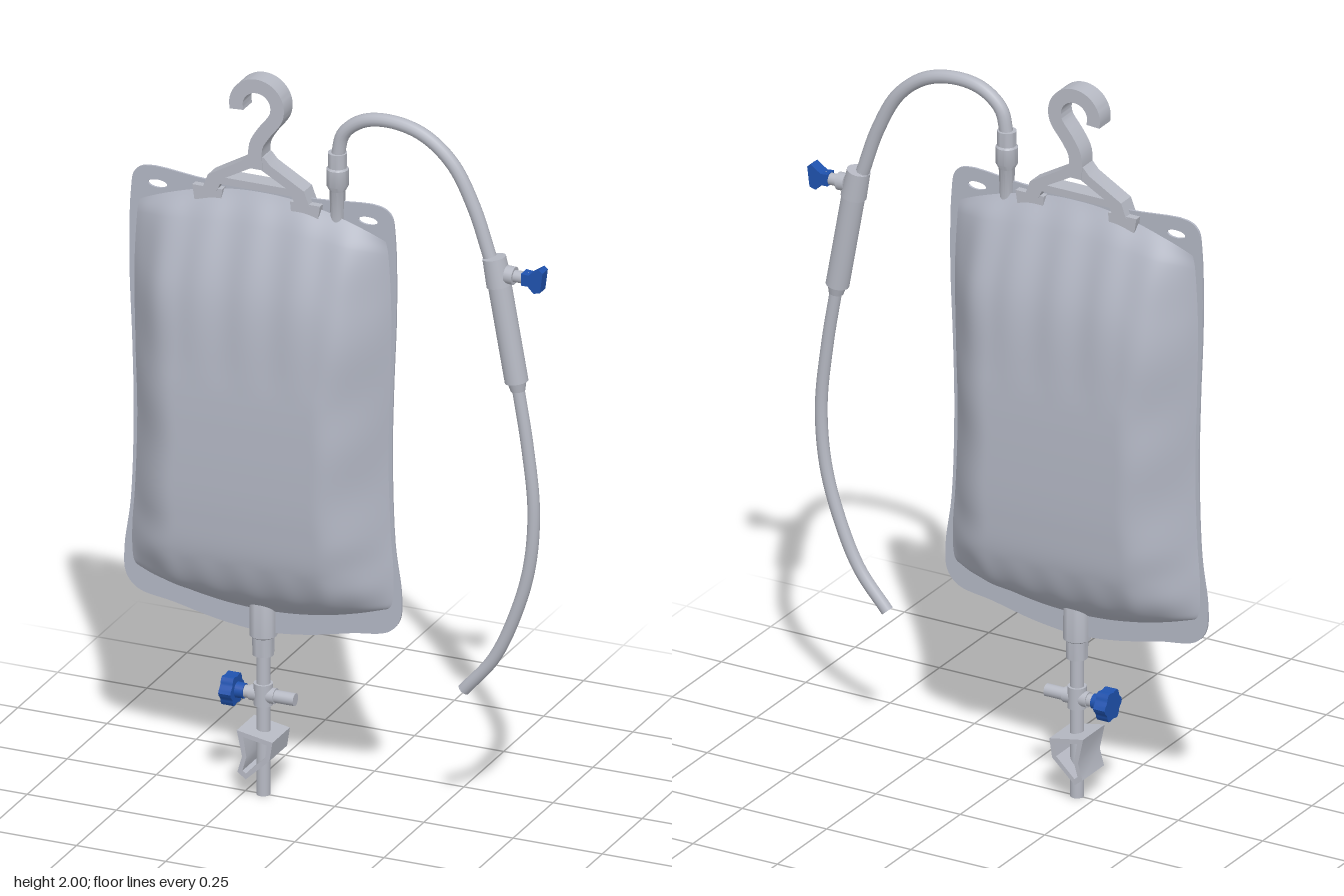
import * as THREE from 'three';
import { toCreasedNormals } from 'three/addons/utils/BufferGeometryUtils.js';

const CX = -0.2; // centre line of the bag
const V2 = (x, y) => new THREE.Vector2(x, y);
const V3 = (x, y, z = 0) => new THREE.Vector3(x, y, z);

export function createModel() {
  const group = new THREE.Group();
  const mat = (name, color, side = THREE.FrontSide) => {
    const m = new THREE.MeshStandardMaterial({ color, side });
    m.name = name;
    return m;
  };
  const film = mat('bagFilm', 0xb2b6c3, THREE.DoubleSide);
  const plastic = mat('clearPlastic', 0xb6b9c3);
  const blue = mat('blueTap', 0x1f52ae);

  const add = (name, geo, material = plastic) => {
    const mesh = new THREE.Mesh(geo, material);
    mesh.name = name;
    group.add(mesh);
    return mesh;
  };
  // flat shape extruded evenly to both sides of z = 0
  const slab = (shape, depth) => {
    const g = new THREE.ExtrudeGeometry(shape, { depth, bevelEnabled: false, curveSegments: 10 });
    g.translate(0, 0, -depth / 2);
    return toCreasedNormals(g, 0.6);
  };
  // round rod between two points
  const rod = (name, a, b, r0, r1 = r0, material = plastic, sides = 20) => {
    const dir = b.clone().sub(a);
    const g = new THREE.CylinderGeometry(r1, r0, dir.length(), sides);
    const mesh = add(name, g, material);
    mesh.position.copy(a).add(b).multiplyScalar(0.5);
    mesh.quaternion.setFromUnitVectors(V3(0, 1), dir.normalize());
    return mesh;
  };
  // turned part standing on the y axis at x
  const turned = (name, x, pts) => {
    const g = new THREE.LatheGeometry(pts.map(p => V2(...p)), 24);
    add(name, toCreasedNormals(g, 0.6)).position.x = x;
  };
  const hose = (name, pts, r) => {
    const curve = new THREE.CatmullRomCurve3(pts.map(p => V3(...p)));
    add(name, new THREE.TubeGeometry(curve, 60, r, 14));
    rod(name + 'End', curve.getPoint(0.998), curve.getPoint(1), r);
  };

  // welded flange with two slots
  const half = [[0.03, 0.455], [0.13, 0.467], [0.25, 0.493], [0.35, 0.513], [0.383, 0.55], [0.388, 0.62],
    [0.37, 0.76], [0.362, 1.0], [0.366, 1.2], [0.374, 1.42], [0.37, 1.62], [0.36, 1.675], [0.33, 1.695], [0.15, 1.685]];
  const loop = [...half.map(([d, y]) => V3(CX + d, y)), ...half.map(([d, y]) => V3(CX - d, y)).reverse()];
  const outline = new THREE.CatmullRomCurve3(loop, true, 'centripetal').getPoints(140);
  const flange = new THREE.Shape(outline.slice(0, -1).map(p => V2(p.x, p.y)));
  for (const x of [CX - 0.295, CX + 0.295]) {
    const slot = new THREE.Path();
    slot.absellipse(x, 1.65, 0.027, 0.011, 0, Math.PI * 2, true);
    flange.holes.push(slot);
  }
  add('flange', slab(flange, 0.006), film);

  // filled pouch: each row is half width, height, half depth
  const rows = new THREE.CatmullRomCurve3([[0.345, 1.68, 0.006], [0.352, 1.6, 0.047], [0.36, 1.42, 0.104],
    [0.357, 1.2, 0.125], [0.352, 1.0, 0.13], [0.358, 0.8, 0.126], [0.366, 0.68, 0.112],
    [0.362, 0.58, 0.07], [0.34, 0.515, 0.002]].map(p => V3(...p)));
  const pouchSide = () => {
    const g = new THREE.PlaneGeometry(2, 1, 64, 80);
    const pos = g.attributes.position;
    for (let i = 0; i < pos.count; i++) {
      const s = pos.getX(i), t = 0.5 - pos.getY(i);
      const row = rows.getPoint(t);
      const edge = Math.min(1, (1 - Math.abs(s)) / 0.45);
      const top = Math.max(0, 1 - t / 0.4), low = Math.max(0, (t - 0.75) / 0.25);
      const swell = Math.sin(edge * Math.PI / 2);
      // creases fan out from the seams
      const crease = 0.1 * top * Math.cos(s * 17) + 0.07 * low * Math.cos(s * 21)
        + 0.07 * (1 - edge) * Math.sin(t * 38 + s * 3);
      const y = row.y - 0.08 * s * s * top * top + 0.06 * s * s * low * low;
      pos.setXYZ(i, s * row.x, y, 0.003 + Math.max(0, row.z * swell * (1 + crease)));
    }
    g.computeVertexNormals();
    return g;
  };
  add('pouchFront', pouchSide(), film).position.x = CX;
  const back = add('pouchBack', pouchSide(), film);
  back.position.x = CX;
  back.rotation.y = Math.PI;

  // hanger hook: flat strip following a curve
  const hx = -0.21;
  const arc = [];
  for (let a = 195; a >= -35; a -= 23) {
    const r = a * Math.PI / 180;
    arc.push(V2(hx + 0.003 + 0.058 * Math.cos(r), 1.923 + 0.058 * Math.sin(r)));
  }
  const hookLine = new THREE.SplineCurve([...arc, V2(-0.19, 1.85), V2(hx, 1.81), V2(hx, 1.75)]);
  const sideA = [], sideB = [];
  for (let i = 0; i <= 48; i++) {
    const p = hookLine.getPoint(i / 48), d = hookLine.getTangent(i / 48);
    sideA.push(V2(p.x - d.y * 0.019, p.y + d.x * 0.019));
    sideB.unshift(V2(p.x + d.y * 0.019, p.y - d.x * 0.019));
  }
  add('hangerHook', slab(new THREE.Shape([...sideA, ...sideB]), 0.055));

  // hanger yoke with a triangular opening, and its two feet
  const yoke = new THREE.Shape([[-0.022, 1.785], [-0.04, 1.765], [-0.135, 1.71], [-0.15, 1.67], [-0.11, 1.67],
    [-0.1, 1.69], [0.1, 1.69], [0.11, 1.67], [0.15, 1.67], [0.135, 1.71], [0.04, 1.765], [0.022, 1.785]]
    .map(([x, y]) => V2(hx + x, y)));
  yoke.holes.push(new THREE.Path([[-0.085, 1.71], [0, 1.757], [0.085, 1.71]].map(([x, y]) => V2(hx + x, y))));
  add('hangerYoke', slab(yoke, 0.05));
  for (const side of [-1, 1]) {
    const foot = new THREE.Shape([[-0.042, 1.675], [-0.038, 1.635], [-0.02, 1.615], [0.02, 1.615],
      [0.036, 1.635], [0.042, 1.675]].map(([x, y]) => V2(hx + side * (0.137 + x), y)));
    add(side < 0 ? 'rightHangerFoot' : 'leftHangerFoot', slab(foot, 0.046));
  }

  // inlet port and upper hose
  turned('inletPort', 0.008, [[0, 1.56], [0.014, 1.57], [0.018, 1.64], [0.021, 1.72], [0.029, 1.735],
    [0.029, 1.78], [0.025, 1.785], [0.025, 1.825], [0, 1.825]]);
  hose('upperHose', [[0.008, 1.81], [0.025, 1.88], [0.08, 1.925], [0.16, 1.937], [0.25, 1.915],
    [0.33, 1.85], [0.39, 1.74], [0.435, 1.61]], 0.018);

  // upper tap and drip chamber
  rod('upperTapBody', V3(0.462, 1.535), V3(0.447, 1.61), 0.034, 0.031);
  rod('upperTapArm', V3(0.45, 1.568), V3(0.545, 1.568), 0.016);
  rod('upperTapCollar', V3(0.482, 1.569), V3(0.505, 1.568), 0.024);
  const wing = new THREE.Shape([[0.53, 1.585], [0.55, 1.583], [0.58, 1.603], [0.59, 1.595], [0.583, 1.54],
    [0.565, 1.535], [0.548, 1.552], [0.53, 1.552]].map(p => V2(...p)));
  add('upperTapWing', slab(wing, 0.034), blue);
  rod('dripChamber', V3(0.51, 1.275), V3(0.461, 1.545), 0.031);
  rod('dripChamberOutlet', V3(0.514, 1.25), V3(0.51, 1.28), 0.019, 0.026);
  hose('lowerHose', [[0.511, 1.275], [0.54, 1.1], [0.558, 0.92], [0.545, 0.76], [0.505, 0.62],
    [0.445, 0.49], [0.362, 0.39]], 0.0165);

  // outlet port and drain pipe
  turned('outletPort', CX, [[0, 0.39], [0.028, 0.39], [0.029, 0.44], [0.036, 0.445], [0.035, 0.54],
    [0.028, 0.57], [0, 0.575]]);
  rod('drainPipe', V3(CX, 0), V3(CX, 0.4), 0.018);

  // drain tap
  rod('drainTapBody', V3(CX, 0.25), V3(CX, 0.31), 0.025);
  rod('drainTapBar', V3(-0.275, 0.278), V3(-0.11, 0.278), 0.017);
  rod('drainTapCollar', V3(-0.235, 0.278), V3(-0.165, 0.278), 0.021);
  rod('drainKnobNeck', V3(-0.285, 0.278), V3(-0.25, 0.278), 0.022, 0.02, blue);
  const knob = new THREE.Shape();
  for (let i = 0; i < 36; i++) {
    const a = i / 36 * Math.PI * 2, r = 0.04 + 0.004 * Math.cos(6 * a);
    knob[i ? 'lineTo' : 'moveTo'](r * Math.cos(a), r * Math.sin(a));
  }
  const knobMesh = add('drainKnob', slab(knob, 0.034), blue);
  knobMesh.rotation.y = Math.PI / 2;
  knobMesh.position.set(-0.29, 0.278, 0);

  // pinch clamp: a bent strip looped around the pipe
  const clamp = new THREE.Shape([[-0.25, 0.19], [-0.15, 0.172], [-0.158, 0.12], [-0.225, 0.057], [-0.248, 0.075],
    [-0.235, 0.12]].map(p => V2(...p)));
  clamp.holes.push(new THREE.Path([[-0.232, 0.174], [-0.223, 0.12], [-0.234, 0.08], [-0.224, 0.074],
    [-0.17, 0.126], [-0.165, 0.162]].map(p => V2(...p))));
  add('pinchClamp', slab(clamp, 0.11));

  return group;
}
